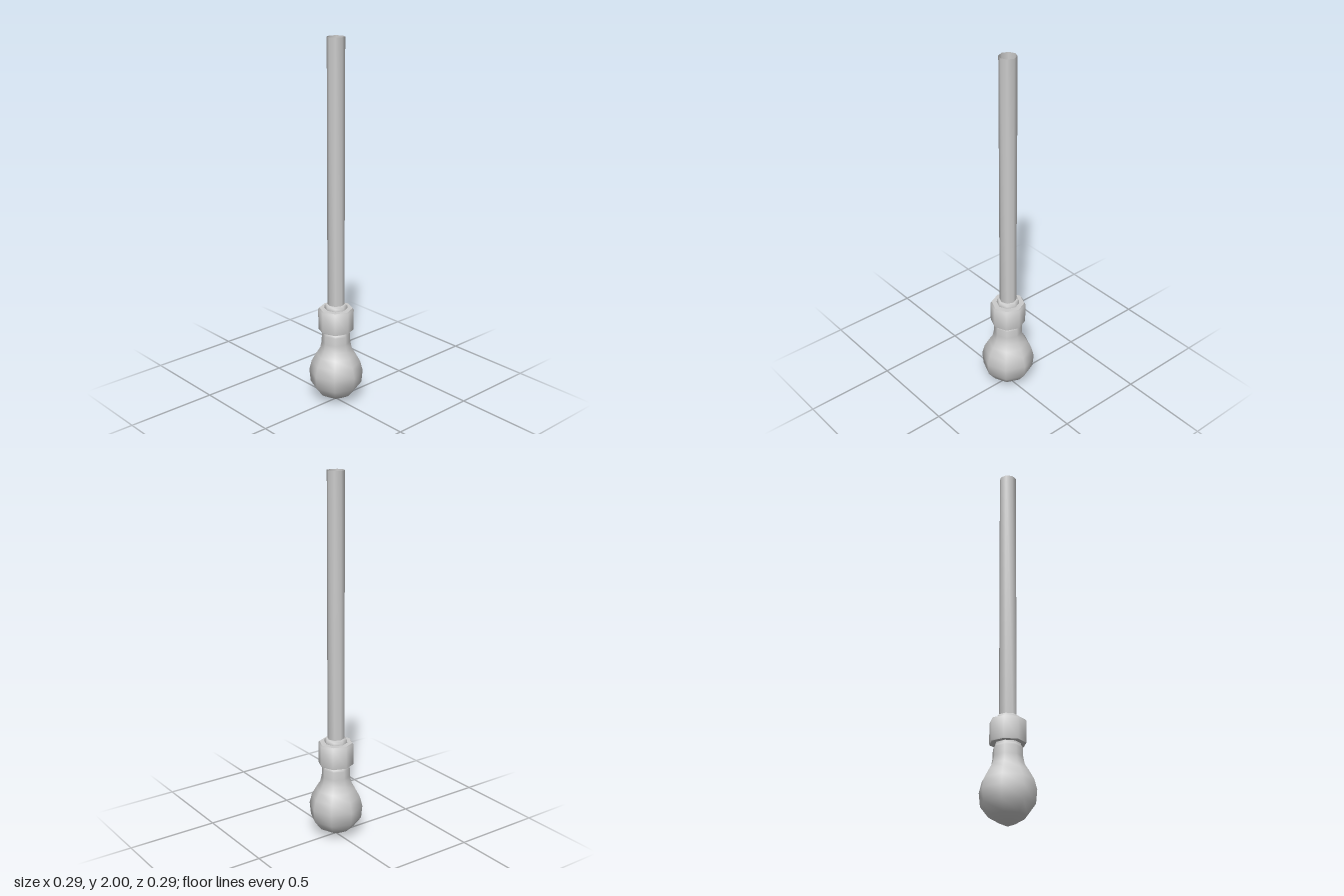
import * as THREE from 'three';
import { toCreasedNormals } from 'three/addons/utils/BufferGeometryUtils.js';

const SIDES = 8;

export function createModel() {
  const group = new THREE.Group();
  const material = new THREE.MeshStandardMaterial({ color: 0xcccccc, side: THREE.DoubleSide });

  // Turned part from [radius, height] pairs listed bottom to top
  function turned(name, profile, creased) {
    const points = profile.map(([r, y]) => new THREE.Vector2(r, y));
    let geometry = new THREE.LatheGeometry(points, SIDES);
    if (creased) geometry = toCreasedNormals(geometry, Math.PI / 3.2);
    const mesh = new THREE.Mesh(geometry, material);
    mesh.name = name;
    group.add(mesh);
  }

  // Pear-shaped glass bulb
  turned('bulb', [
    [0, 0.005], [0.042, 0.022], [0.098, 0.055], [0.14, 0.11], [0.147, 0.18],
    [0.133, 0.235], [0.108, 0.28], [0.086, 0.315], [0.078, 0.355], [0.077, 0.4], [0.07, 0.412],
  ], false);

  // Bulb base running up into the socket
  turned('bulbBase', [[0.07, 0.412], [0.067, 0.418], [0.067, 0.46]], true);

  // Socket collar with a slightly eased top edge
  turned('socket', [
    [0.067, 0.425], [0.095, 0.425], [0.096, 0.432], [0.096, 0.54], [0.09, 0.549], [0.06, 0.549],
  ], true);

  // Small tapered ring where the stem enters the socket
  turned('stemRing', [[0.062, 0.549], [0.061, 0.563], [0.053, 0.573], [0.045, 0.573]], true);

  // Long hollow stem, open at the top
  turned('stem', [[0.046, 0.55], [0.046, 2]], true);

  return group;
}
